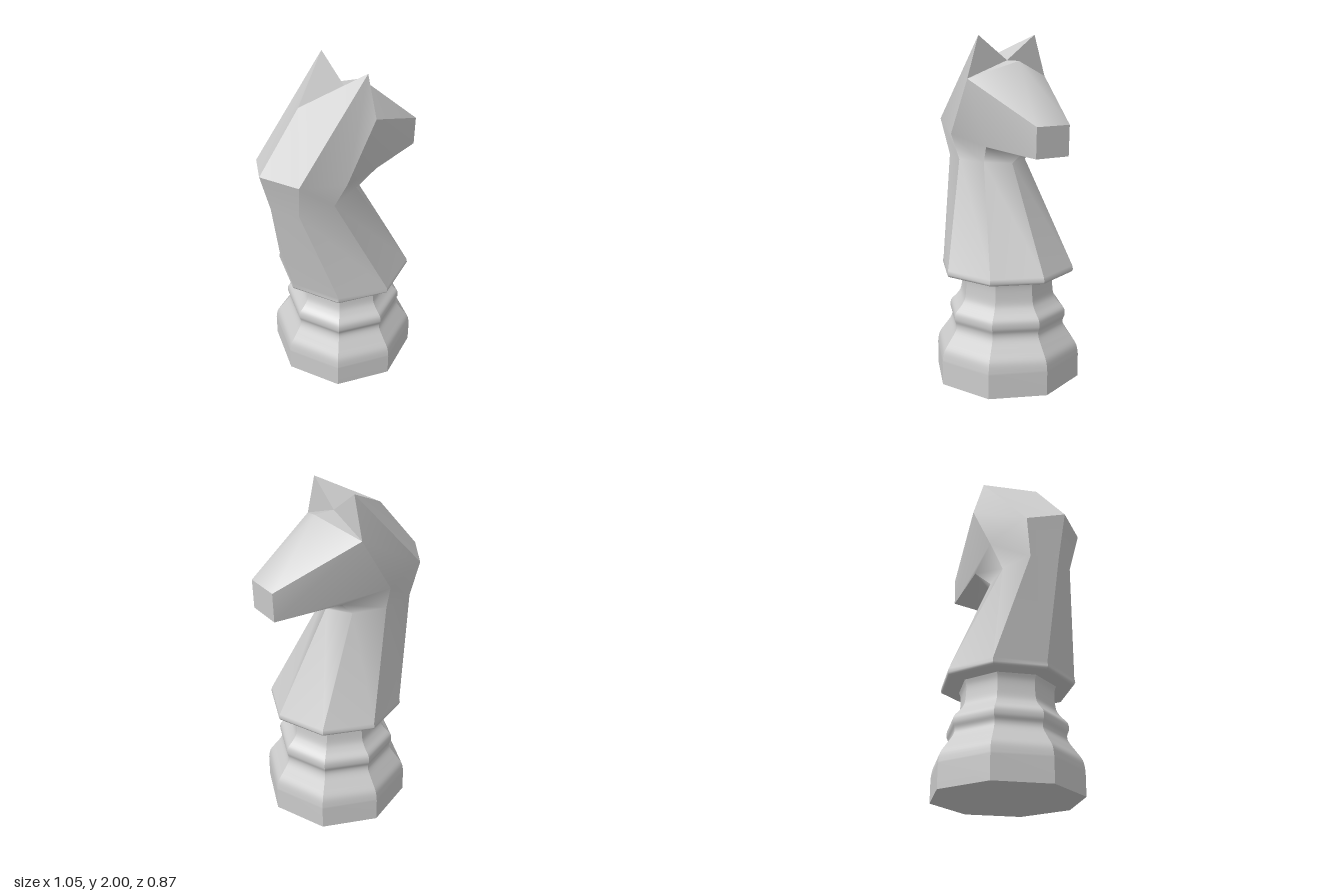
import * as THREE from 'three';
import { mergeVertices } from 'three/addons/utils/BufferGeometryUtils.js';

const material = new THREE.MeshStandardMaterial({ color: 0xcccccc });
const AXIS = 0.06; // the octagonal foot stands slightly off centre

// Corner k of an octagon ring
const corner = (r, y, k) => [AXIS + r * Math.cos(k * Math.PI / 4), y, r * Math.sin(k * Math.PI / 4)];
const flip = ([x, y, z]) => [x, y, -z];
const mirrored = (polys) => polys.map((p) => p.map(flip).reverse());

// One mesh from polygons (triangles or quads), smooth inside, hard at its border
function patch(name, polys) {
  const positions = [];
  for (const p of polys) {
    for (let i = 1; i < p.length - 1; i++) positions.push(...p[0], ...p[i], ...p[i + 1]);
  }
  let geometry = new THREE.BufferGeometry();
  geometry.setAttribute('position', new THREE.Float32BufferAttribute(positions, 3));
  geometry = mergeVertices(geometry, 1e-5);
  geometry.computeVertexNormals();
  const mesh = new THREE.Mesh(geometry, material);
  mesh.name = name;
  return mesh;
}

// Quads between two neighbouring columns of points, bottom to top
const strip = (a, b) => a.slice(1).map((p, i) => [a[i], p, b[i + 1], b[i]]);

function createBase() {
  const base = new THREE.Group();
  base.name = 'base';
  const curve = new THREE.SplineCurve([
    [0.437, 0.14], [0.425, 0.2], [0.388, 0.255], [0.35, 0.31], [0.342, 0.345], [0.353, 0.38],
    [0.347, 0.42], [0.31, 0.46], [0.285, 0.5], [0.276, 0.56], [0.276, 0.61], [0.287, 0.645],
  ].map(([r, y]) => new THREE.Vector2(r, y)));
  const profile = [new THREE.Vector2(0.437, 0), ...curve.getPoints(44)];
  const column = (k) => profile.map((p) => corner(p.x, p.y, k));
  for (let k = 0; k < 8; k++) base.add(patch('baseSide', strip(column(k), column(k + 1))));

  const bottom = new THREE.Mesh(new THREE.CircleGeometry(0.437, 8), material);
  bottom.name = 'baseBottom';
  bottom.rotation.x = Math.PI / 2;
  bottom.position.x = AXIS;
  base.add(bottom);
  return base;
}

function createHorse() {
  const horse = new THREE.Group();
  horse.name = 'horse';

  // Head landmarks on the +z half
  const ear = [0.06, 2, 0.185], brow = [0.06, 1.765, 0.257];
  const poll = [-0.255, 1.84, 0], crown = [0.06, 1.86, 0], forehead = [0.185, 1.86, 0];
  const noseTop = [0.525, 1.535, 0.105], noseLow = [0.52, 1.365, 0.105], chin = [0.52, 1.365, 0];

  // Rounded collar rim, then neck and jaw rings, from the chest round to the mane
  const rim = [[0.25, 0.643], [0.375, 0.643], [0.392, 0.649], [0.398, 0.661], [0.393, 0.685]];
  const neck = [[0.12, 1.28, 0], [0.035, 1.285, 0.14], [-0.17, 1.28, 0.188], [-0.38, 1.28, 0.14], [-0.46, 1.28, 0]];
  const jaw = [[0.25, 1.37, 0], [0.14, 1.39, 0.185], [-0.14, 1.44, 0.257], [-0.41, 1.5, 0.185], [-0.525, 1.53, 0]];
  const column = (k, ...top) => [...rim.map(([r, y]) => corner(r, y, k)), neck[k], jaw[k], ...top];

  const halves = {
    throat: strip(column(0, chin), column(1, noseLow)),
    cheek: [...strip(column(1, noseLow), column(2, brow)), [noseLow, noseTop, brow]],
    neckSide: strip(column(2, brow), column(3, ear)),
    neckBack: strip(column(3), column(4)),
    mane: [[jaw[3], ear, poll, jaw[4]]],
    earInner: [[poll, ear, crown]],
    earFront: [[ear, brow, crown]],
    crown: [[crown, brow, forehead]],
  };
  for (const [name, polys] of Object.entries(halves)) {
    horse.add(patch(name + 'Left', polys), patch(name + 'Right', mirrored(polys)));
  }

  // Face and muzzle span both halves
  const faceSide = [[forehead, brow, noseTop]];
  horse.add(patch('face', [...faceSide, ...mirrored(faceSide), [forehead, noseTop, flip(noseTop)]]));
  horse.add(patch('muzzle', [[noseTop, noseLow, flip(noseLow), flip(noseTop)]]));
  return horse;
}

export function createModel() {
  const model = new THREE.Group();
  model.name = 'chessKnight';
  model.add(createBase(), createHorse());
  return model;
}
